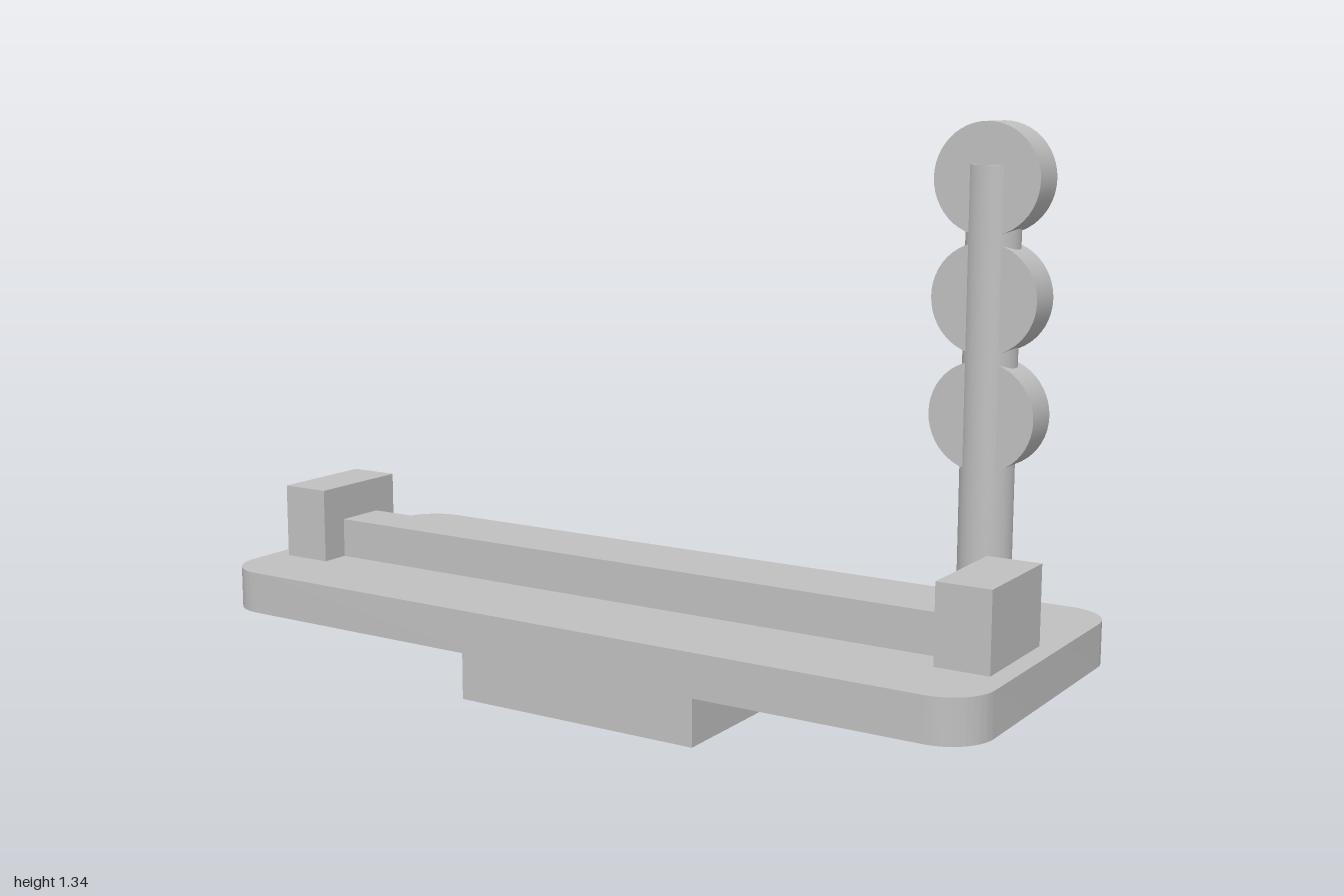
import * as THREE from 'three';
import { toCreasedNormals } from 'three/addons/utils/BufferGeometryUtils.js';

export function createModel() {
  const model = new THREE.Group();
  const grey = new THREE.MeshStandardMaterial({ color: 0xc0c0c0 });
  grey.name = 'plain grey';

  function add(name, geometry, x, y, z) {
    const mesh = new THREE.Mesh(geometry, grey);
    mesh.name = name;
    mesh.position.set(x, y, z);
    model.add(mesh);
    return mesh;
  }

  // Square foot under the plate
  add('foot', new THREE.BoxGeometry(0.63, 0.14, 0.63), 0, 0.07, 0);

  // Base plate with rounded corners
  const w = 1, d = 0.393, r = 0.105;
  const outline = new THREE.Shape();
  outline.absarc(w - r, d - r, r, 0, Math.PI / 2);
  outline.absarc(-w + r, d - r, r, Math.PI / 2, Math.PI);
  outline.absarc(-w + r, -d + r, r, Math.PI, Math.PI * 1.5);
  outline.absarc(w - r, -d + r, r, Math.PI * 1.5, Math.PI * 2);
  outline.closePath();
  const plate = new THREE.ExtrudeGeometry(outline, { depth: 0.1, bevelEnabled: false, curveSegments: 12 });
  plate.rotateX(-Math.PI / 2);
  add('basePlate', toCreasedNormals(plate, 0.6), 0, 0.14, 0);

  // Rail held between two end blocks
  add('rail', new THREE.BoxGeometry(1.664, 0.095, 0.125), 0, 0.2875, 0.077);
  for (const side of [-1, 1]) {
    add(side > 0 ? 'leftEndBlock' : 'rightEndBlock',
      new THREE.BoxGeometry(0.125, 0.18, 0.262), side * 0.893, 0.33, 0.079);
  }

  // Signal post with three lamp discs facing front and back
  const px = 0.735, pz = -0.262;
  add('post', new THREE.CylinderGeometry(0.0615, 0.0615, 1.005, 40), px, 0.7425, pz);
  const disc = new THREE.CylinderGeometry(0.125, 0.125, 0.094, 48);
  disc.rotateX(Math.PI / 2);
  ['lowerLamp', 'middleLamp', 'upperLamp'].forEach((name, i) => {
    add(name, disc, px, 0.69 + i * 0.2625, pz);
  });

  return model;
}
